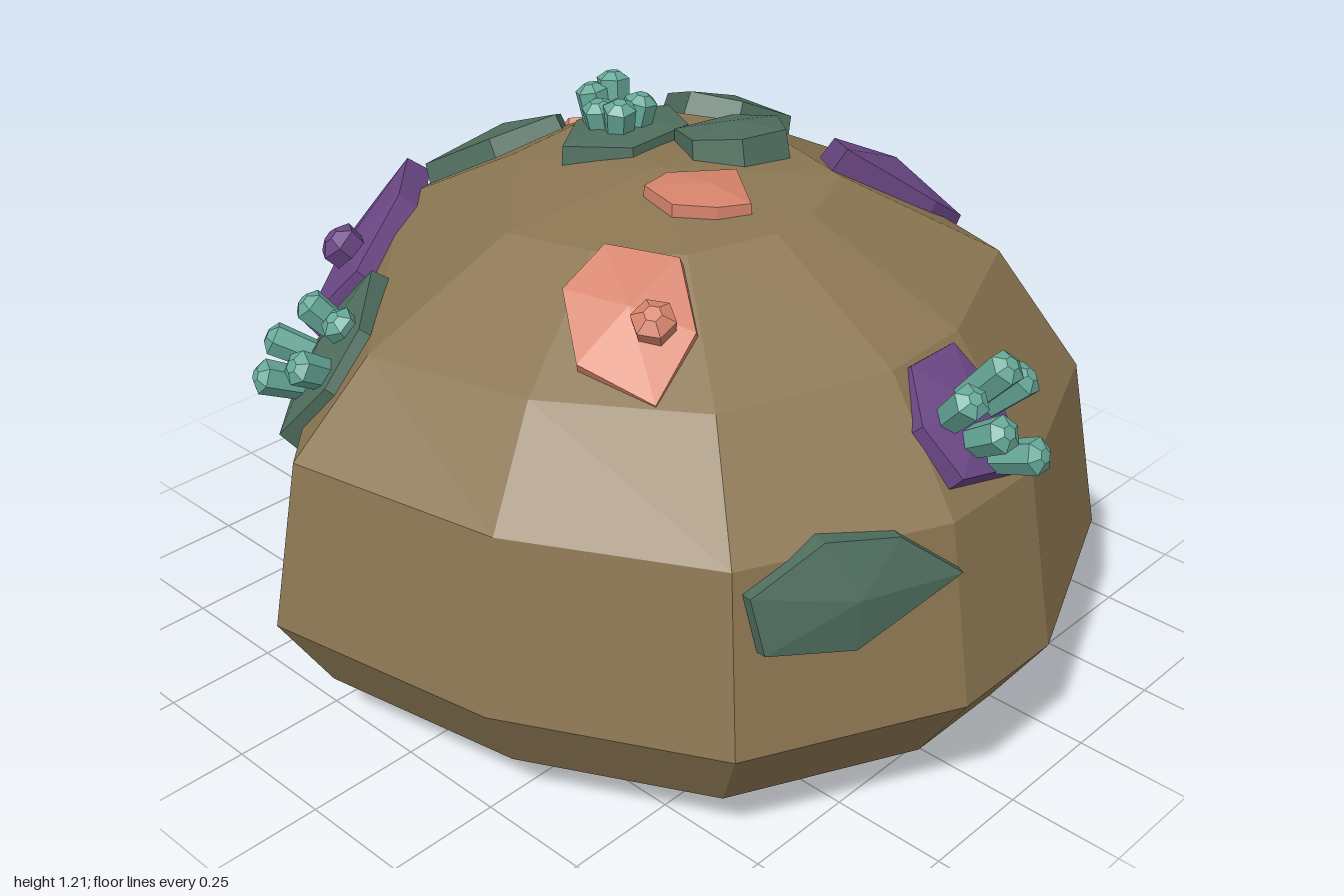
import * as THREE from 'three';

const V = (a) => new THREE.Vector3(...a);
const mat = (name, color) => new THREE.MeshStandardMaterial({ name, color, flatShading: true, roughness: 1 });

export function createModel() {
  const model = new THREE.Group();
  model.name = 'crystalBoulder';
  const stone = mat('brown stone', 0x8b7652);
  const coral = mat('coral mineral', 0xd4826a);
  const green = mat('dark green mineral', 0x4f6e5e);
  const purple = mat('purple mineral', 0x6b4785);
  const teal = mat('teal crystal', 0x66a898);

  const add = (name, geometry, material, parent = model) => {
    const mesh = new THREE.Mesh(geometry, material);
    mesh.name = name;
    parent.add(mesh);
    return mesh;
  };

  // Boulder: one twelve-sided outline, scaled ring by ring [scale, height, tilt]
  const outline = [[-0.21, 0.905], [0.32, 0.81], [0.755, 0.58], [0.965, 0.145], [0.965, -0.13], [0.77, -0.59],
    [0.33, -0.75], [-0.115, -0.91], [-0.71, -0.775], [-1, -0.445], [-0.975, 0.145], [-0.565, 0.55]];
  const rings = [[0, 0, 0], [0.67, 0, 0], [0.88, 0.12, 0], [1, 0.3, 0], [0.925, 0.675, 0.01],
    [0.735, 0.895, 0.05], [0.39, 1.065, 0.06], [0, 1.1, 0]];
  const rock = new THREE.LatheGeometry(rings.map(([s, y]) => new THREE.Vector2(s, y)), 12);
  const pos = rock.attributes.position;
  for (let i = 0; i < pos.count; i++) {
    const [s, y, tilt] = rings[i % rings.length];
    const [x, z] = outline[Math.floor(i / rings.length) % 12];
    pos.setXYZ(i, x * s, y + tilt * (x - z) * s, z * s);
  }
  rock.computeVertexNormals();
  add('boulder', rock, stone);

  // Plane axes for the plate outlines: [across, up, projection]
  const planes = {
    top: [[1, 0, 0], [0, 0, -1], [0, 1, 0]],
    front: [[1, 0, 0], [0, 1, 0], [0, 0, 1]],
    side: [[0, 0, -1], [0, 1, 0], [1, 0, 0]],
  };

  // Mineral plate: an outline projected onto the tilted plane, with thickness and a raised middle
  function plate(name, material, centre, normal, plane, points, peak = 0.025, rise = 0.012) {
    const c = V(centre), n = V(normal).normalize();
    const [a, b, d] = planes[plane].map(V);
    const rim = points.map(([p, q]) => {
      const o = a.clone().multiplyScalar(p).addScaledVector(b, q);
      return o.addScaledVector(d, -n.dot(o) / n.dot(d));
    });
    const turn = rim.reduce((sum, p, i) => sum + p.clone().cross(rim[(i + 1) % rim.length]).dot(n), 0);
    if (turn < 0) rim.reverse();
    const at = (o, scale, height) => o.clone().multiplyScalar(scale).add(c).addScaledVector(n, height);
    const apex = at(V([0, 0, 0]), 1, peak + rise);
    const tri = [];
    rim.forEach((p, i) => {
      const q = rim[(i + 1) % rim.length];
      const p0 = at(p, 1, -0.05), q0 = at(q, 1, -0.05), p1 = at(p, 0.96, rise), q1 = at(q, 0.96, rise);
      tri.push(p0, q0, q1, p0, q1, p1, p1, q1, apex, q0, p0, at(V([0, 0, 0]), 1, -0.05));
    });
    const g = new THREE.BufferGeometry().setFromPoints(tri);
    g.computeVertexNormals();
    add(name, g, material);
  }

  // Plates on the crown
  plate('crownCoralPlate', coral, [0.17, 1.1, 0.03], [0, 1, 0.03], 'top',
    [[-0.12, 0], [-0.02, 0.11], [0.12, 0], [0.08, -0.06], [0, -0.11], [-0.11, -0.08]], 0.012);
  plate('crownGreenPlate', green, [0.02, 1.12, -0.21], [-0.18, 1, -0.05], 'top',
    [[-0.09, 0.1], [0.02, 0.13], [0.13, 0.03], [0.1, -0.08], [0, -0.13], [-0.12, -0.06]], 0.015);
  plate('crownClusterPlate', green, [-0.21, 1.09, -0.1], [-0.05, 1, 0], 'top',
    [[-0.02, 0.18], [0.11, 0.11], [0.12, -0.08], [-0.01, -0.17], [-0.11, -0.03], [-0.11, 0.02]], 0.02);

  // Plates on the upper slopes
  plate('backGreenPlate', green, [-0.26, 1.01, -0.52], [-0.12, 0.87, -0.45], 'top',
    [[-0.1, 0.09], [0.06, 0.15], [0.17, 0.02], [0.13, -0.11], [0, -0.15], [-0.17, -0.05]]);
  plate('backPurplePlate', purple, [0.27, 1.03, -0.42], [0.2, 0.8, -0.52], 'top',
    [[-0.13, 0.11], [-0.02, 0.12], [0.11, 0.14], [0.11, 0.04], [0.01, -0.16], [-0.13, -0.03]], 0.035);
  plate('rightGreenPlate', green, [-0.585, 0.97, -0.11], [-0.47, 0.85, 0], 'top',
    [[-0.12, 0.05], [0.01, 0.17], [0.13, 0.04], [0.06, -0.11], [-0.12, -0.16]]);
  plate('backRightCoralPlate', coral, [-0.72, 0.79, -0.53], [-0.58, 0.68, -0.45], 'top',
    [[-0.07, 0.12], [0.11, 0.14], [0.14, 0], [0.03, -0.13], [-0.14, -0.1], [-0.13, 0]]);
  plate('frontRightPurplePlate', purple, [-0.65, 0.78, 0.31], [-0.53, 0.67, 0.53], 'front',
    [[-0.14, 0.05], [-0.12, 0.13], [0.04, 0.13], [0.14, 0.04], [0.02, -0.11], [-0.15, -0.02]]);
  plate('frontClusterPlate', green, [-0.36, 0.76, 0.6], [-0.52, 0.62, 0.58], 'front',
    [[-0.14, 0], [-0.04, 0.12], [0.13, 0.1], [0.15, 0.01], [0.03, -0.13], [-0.12, -0.09]]);
  plate('frontCoralPlate', coral, [0.3, 1, 0.385], [0.3, 0.8, 0.5], 'top',
    [[-0.13, 0.06], [0.01, 0.13], [0.13, 0.05], [0.155, -0.09], [-0.02, -0.13], [-0.14, -0.05]]);
  plate('leftClusterPlate', purple, [0.81, 0.82, 0], [0.7, 0.7, 0], 'side',
    [[-0.13, 0.02], [-0.07, 0.1], [0.07, 0.1], [0.1, 0.01], [0.07, -0.1], [-0.11, -0.07]]);

  // Plates on the steep lower sides
  plate('lowRightCoralPlate', coral, [-0.78, 0.405, 0.355], [-0.69, 0.17, 0.7], 'front',
    [[-0.1, 0.02], [-0.04, 0.1], [0.1, 0.12], [0.1, 0], [0.07, -0.12], [-0.1, -0.04]]);
  plate('lowLeftGreenPlate', green, [0.825, 0.595, 0.345], [0.88, 0.2, 0.42], 'side',
    [[-0.19, 0.04], [-0.04, 0.12], [0.1, 0.1], [0.21, 0], [-0.01, -0.11], [-0.18, -0.08]]);
  plate('lowBackRightGreenPlate', green, [-0.8, 0.575, -0.6], [-0.73, 0.2, -0.65], 'side',
    [[0.13, 0], [0.02, 0.12], [-0.13, 0.1], [-0.1, -0.06], [0.04, -0.12]]);
  plate('lowBackCoralPlate', coral, [0.015, 0.6, -0.82], [0.33, 0.2, -0.92], 'front',
    [[-0.13, 0.02], [-0.05, 0.1], [0.06, 0.1], [0.15, -0.02], [0.05, -0.1], [-0.07, -0.09]], 0.05);
  plate('lowBackPurplePlate', purple, [0.46, 0.4, -0.695], [0.34, 0.18, -0.92], 'front',
    [[-0.18, 0], [-0.07, 0.09], [0.08, 0.08], [0.18, 0], [0.07, -0.09], [-0.08, -0.08]]);

  // Six-sided crystal from base to tip, with a blunt point
  function crystal(name, material, base, tip, r, parent) {
    const dir = tip.clone().sub(base), h = dir.length();
    const profile = [[0, 0], [r * 0.85, 0], [r, h - r * 0.4], [r * 0.4, h], [0, h]];
    const g = new THREE.LatheGeometry(profile.map((p) => new THREE.Vector2(...p)), 6);
    const mesh = add(name, g, material, parent);
    mesh.position.copy(base);
    mesh.quaternion.setFromUnitVectors(V([0, 1, 0]), dir.normalize());
  }

  // Crystal clusters fanning out from their plates
  function cluster(name, centre, normal, tips) {
    const group = new THREE.Group();
    group.name = name;
    model.add(group);
    const c = V(centre), n = V(normal).normalize();
    tips.map(V).forEach((tip) => {
      const o = tip.clone().sub(c);
      o.addScaledVector(n, -o.dot(n));
      crystal('crystal', teal, c.clone().addScaledVector(o, 0.6), tip, 0.037, group);
    });
  }
  cluster('crownCrystals', [-0.22, 1.07, -0.1], [0, 1, 0],
    [[-0.26, 1.21, -0.13], [-0.17, 1.18, -0.13], [-0.23, 1.17, -0.05], [-0.28, 1.19, -0.08], [-0.17, 1.18, -0.06]]);
  cluster('frontCrystals', [-0.35, 0.74, 0.58], [-0.4, 0.6, 0.7],
    [[-0.42, 0.87, 0.62], [-0.31, 0.87, 0.63], [-0.49, 0.78, 0.67], [-0.28, 0.82, 0.76], [-0.38, 0.77, 0.78]]);
  cluster('leftCrystals', [0.8, 0.81, 0], [0.7, 0.7, 0],
    [[0.9, 0.97, 0], [0.88, 0.92, 0.08], [0.9, 0.92, -0.07], [0.99, 0.81, 0], [0.94, 0.86, 0.05]]);

  // Small stubs growing on two plates
  crystal('coralStub', coral, V([0.35, 0.96, 0.37]), V([0.38, 1.04, 0.41]), 0.045);
  crystal('purpleStub', purple, V([-0.61, 0.78, 0.31]), V([-0.65, 0.86, 0.37]), 0.05);

  return model;
}
